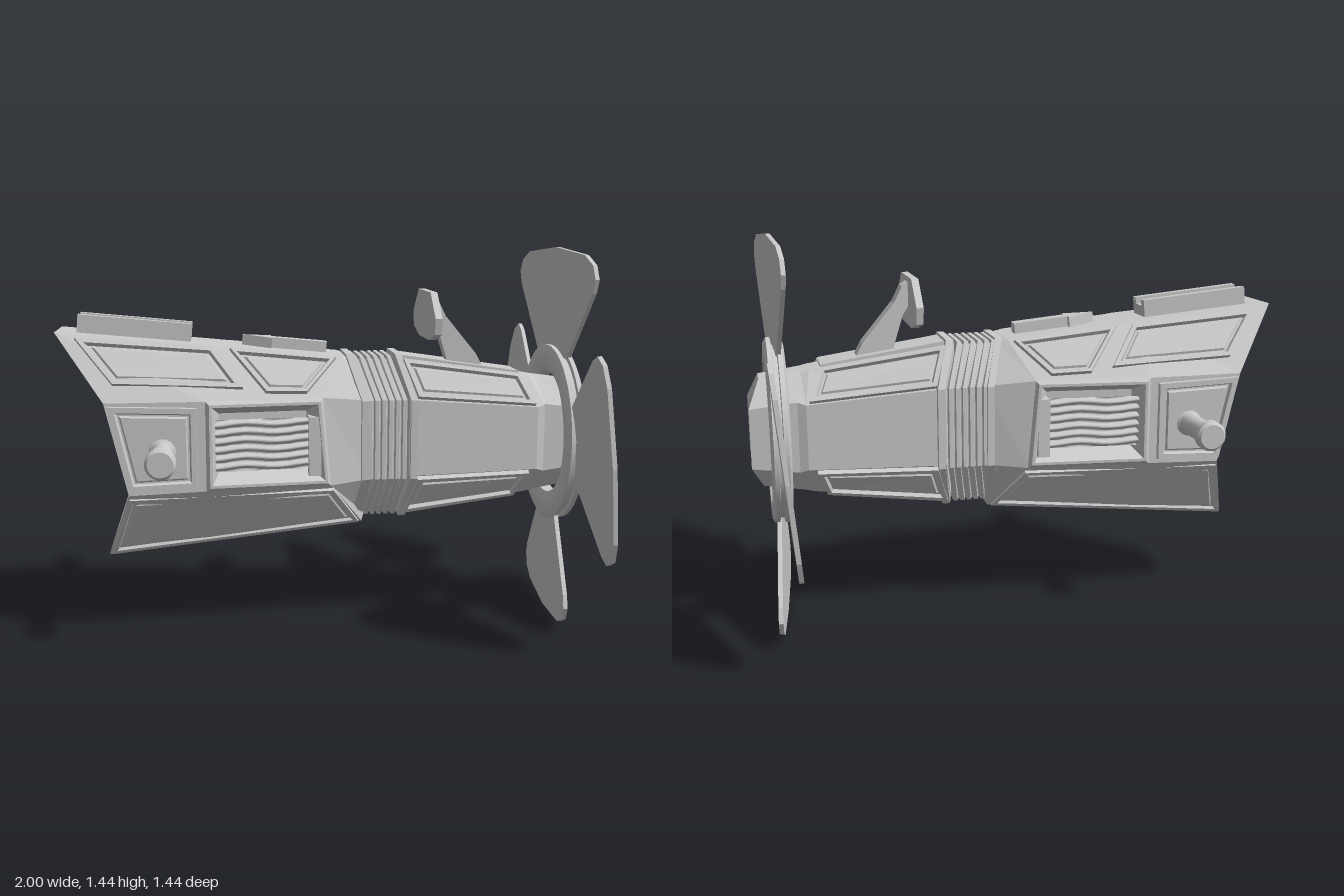
import * as THREE from 'three';
import { toCreasedNormals } from 'three/addons/utils/BufferGeometryUtils.js';

const mat = new THREE.MeshStandardMaterial({ color: 0xcccccc });
const thin = new THREE.MeshStandardMaterial({ color: 0xcccccc, side: THREE.DoubleSide });
const V = (x, y, z) => new THREE.Vector3(x, y, z);
const lerp = THREE.MathUtils.lerp;

function add(parent, name, geometry, material = mat) {
  const mesh = new THREE.Mesh(geometry, material);
  mesh.name = name;
  parent.add(mesh);
  return mesh;
}

// Joins rings of points with flat faces; rings run counter-clockwise seen from the end
function stitch(rings, { startCap = false, endCap = false, skip = () => false } = {}) {
  const out = [];
  const tri = (...p) => p.forEach(v => out.push(v.x, v.y, v.z));
  const n = rings[0].length;
  for (let i = 0; i < rings.length - 1; i++) {
    for (let j = 0; j < n; j++) {
      if (skip(i, j)) continue;
      const k = (j + 1) % n, a = rings[i], b = rings[i + 1];
      tri(a[j], a[k], b[k]);
      tri(a[j], b[k], b[j]);
    }
  }
  const first = rings[0], last = rings[rings.length - 1];
  for (let j = 1; j < n - 1; j++) {
    if (startCap) tri(first[0], first[j + 1], first[j]);
    if (endCap) tri(last[0], last[j], last[j + 1]);
  }
  const g = new THREE.BufferGeometry();
  g.setAttribute('position', new THREE.Float32BufferAttribute(out, 3));
  g.computeVertexNormals();
  return g;
}

// Eight-sided section from [x, y, halfWidth] at top, upper side, lower side, bottom
const oct = (...levels) => [
  ...[...levels].reverse().map(([x, y, z]) => V(x, y, -z)),
  ...levels.map(([x, y, z]) => V(x, y, z)),
];

// Insets a convex polygon in its own plane and lifts it along its normal
function offset(points, inset, lift) {
  const n = points.length;
  const normal = points[2].clone().sub(points[0]).cross(points[3].clone().sub(points[1])).normalize();
  return points.map((p, i) => {
    const d0 = p.clone().sub(points[(i + n - 1) % n]).normalize();
    const d1 = points[(i + 1) % n].clone().sub(p).normalize();
    const sin = d0.clone().cross(d1).length();
    return p.clone().addScaledVector(d1.sub(d0), inset / sin).addScaledVector(normal, lift);
  });
}

// Mirrored pair of stepped panels; corners clockwise from top left, steps are [inset, lift]
function panels(parent, name, corners, steps) {
  for (const s of [1, -1]) {
    const pts = corners.map(([x, y, z]) => V(x, y, z * s));
    if (s > 0) pts.reverse();
    add(parent, name, stitch(steps.map(([i, l]) => offset(pts, i, l)), { endCap: true }));
  }
}
const frame = (b, h = 0.018) => [[0, -0.02], [0.002, h], [b, h], [b + 0.006, 0.004], [b + 0.012, 0.004], [b + 0.018, h * 0.6]];

// Point on the sloping sides of the rear hull
function onHull(x, y) {
  const side = x < -0.46 ? 0.268 : lerp(0.268, 0.22, (x + 0.46) / 0.46);
  const edge = lerp(0.12, 0.1, Math.max(0, (x + 0.46) / 0.51));
  const top = 1.14 - 0.095 * (x + 1), bottom = 0.3 + 0.105 * (x + 0.83);
  const t = y > 0.9 ? (y - 0.9) / (top - 0.9) : y < 0.57 ? (0.57 - y) / (0.57 - bottom) : 0;
  return [x, y, lerp(side, edge, t)];
}
const hullPanel = list => list.map(([x, y]) => onHull(x, y));

function rearHull(model) {
  const g = new THREE.Group();
  g.name = 'rearHull';
  model.add(g);
  const rim = oct([-1, 1.14, 0.12], [-0.82, 0.9, 0.27], [-0.74, 0.56, 0.27], [-0.83, 0.3, 0.12]);
  const inner = oct([-0.97, 1.1, 0.1], [-0.805, 0.885, 0.235], [-0.735, 0.575, 0.235], [-0.815, 0.34, 0.1]);
  const deep = oct([-0.55, 1.05, 0.09], [-0.55, 0.87, 0.2], [-0.55, 0.6, 0.2], [-0.55, 0.4, 0.09]);
  const mid = oct([-0.46, 1.09, 0.12], [-0.46, 0.9, 0.268], [-0.46, 0.57, 0.268], [-0.46, 0.34, 0.12]);
  const front = oct([0.05, 1.04, 0.1], [-0.03, 0.9, 0.22], [0, 0.57, 0.22], [0.13, 0.4, 0.1]);
  const end = oct([0.09, 1.03, 0.09], [0.15, 0.88, 0.17], [0.15, 0.58, 0.17], [0.14, 0.43, 0.09]);
  add(g, 'hullShell', stitch([deep, inner, rim, mid, front, end],
    { startCap: true, endCap: true, skip: (i, j) => i === 3 && (j === 1 || j === 5) }));

  panels(g, 'upperRearPanel', hullPanel([[-0.93, 1.115], [-0.43, 1.075], [-0.32, 0.935], [-0.79, 0.955]]), frame(0.018));
  panels(g, 'upperFrontPanel', hullPanel([[-0.37, 1.07], [0.03, 1.03], [-0.09, 0.915], [-0.24, 0.92]]), frame(0.014));
  panels(g, 'sidePanel', hullPanel([[-0.81, 0.89], [-0.49, 0.88], [-0.49, 0.585], [-0.74, 0.575]]), frame(0.022));
  panels(g, 'lowerPanel', hullPanel([[-0.74, 0.55], [0.01, 0.56], [0.12, 0.405], [-0.82, 0.31]]), frame(0.016, 0.014));

  // Recessed side windows with corrugated vents
  panels(g, 'ventRecess', [[-0.46, 0.9, 0.268], [-0.03, 0.9, 0.22], [0, 0.57, 0.22], [-0.46, 0.57, 0.268]],
    [[0, 0], [0.012, 0.012], [0.022, 0.012], [0.055, -0.07]]);
  for (const s of [1, -1]) {
    const sheet = new THREE.PlaneGeometry(0.38, 0.19, 14, 42);
    const p = sheet.attributes.position;
    for (let i = 0; i < p.count; i++) {
      const wobble = 0.5 * Math.sin(p.getX(i) * 26);
      p.setZ(i, 0.022 * Math.abs(Math.sin(p.getY(i) * 100 + wobble)));
    }
    sheet.computeVertexNormals();
    const vent = add(g, 'vent', sheet, thin);
    vent.position.set(-0.26, 0.73, 0.205 * s);
    vent.rotation.y = s > 0 ? 0.1 : Math.PI - 0.1;
    const post = add(g, 'ventPost', new THREE.BoxGeometry(0.045, 0.22, 0.06));
    post.position.set(-0.06, 0.72, 0.2 * s);

    // Side pegs with rounded end caps
    const profile = [[0, 0.24], [0.055, 0.24], [0.055, 0.275], [0.04, 0.285], [0.04, 0.445], [0.055, 0.455], [0.055, 0.485], [0.045, 0.495], [0, 0.495]];
    const peg = add(g, 'sidePeg', toCreasedNormals(
      new THREE.LatheGeometry(profile.map(q => new THREE.Vector2(...q)), 20), 0.5));
    peg.position.set(-0.615, 0.72, 0);
    peg.rotation.x = s * Math.PI / 2;
  }

  // Top rail and arrow follow the slope of the roof
  const slope = -0.095;
  const rail = new THREE.Group();
  rail.name = 'topRail';
  rail.position.set(-0.715, 1.14, 0);
  rail.rotation.z = slope;
  g.add(rail);
  add(rail, 'railBase', new THREE.BoxGeometry(0.42, 0.05, 0.12)).position.y = -0.01;
  for (const z of [-0.045, 0.045])
    add(rail, 'railEdge', new THREE.BoxGeometry(0.42, 0.07, 0.03)).position.set(0, 0.005, z);
  const arrow = new THREE.Shape([[-0.16, 0], [-0.05, -0.05], [-0.05, -0.026], [0.16, -0.026], [0.16, 0.026], [-0.05, 0.026], [-0.05, 0.05]]
    .map(q => new THREE.Vector2(...q)));
  const arrowGeo = new THREE.ExtrudeGeometry(arrow, { depth: 0.05, bevelEnabled: false }).rotateX(-Math.PI / 2);
  const arrowMesh = add(g, 'raisedArrow', arrowGeo);
  arrowMesh.position.set(-0.16, 1.05, 0);
  arrowMesh.rotation.z = slope;
}

// Bent section of the neck, d is the extra thickness
const neckRing = (x, d) => oct([x - 0.05, 1.025 + d, 0.095], [x, 0.88, 0.17 + d], [x, 0.58, 0.17 + d], [x - 0.03, 0.435 - d, 0.095]);

function frontBody(model) {
  const g = new THREE.Group();
  g.name = 'frontBody';
  model.add(g);
  const ribs = [];
  for (let i = 0; i < 6; i++) {
    const x = 0.14 + i * 0.026;
    ribs.push(neckRing(x, 0), neckRing(x + 0.004, 0.012), neckRing(x + 0.018, 0.012), neckRing(x + 0.022, 0));
  }
  add(g, 'ribbedNeck', stitch(ribs, { startCap: true, endCap: true }));
  for (const [x, w] of [[0.115, 0.03], [0.3, 0.03]])
    add(g, 'neckCollar', stitch([neckRing(x, 0), neckRing(x + 0.004, 0.02), neckRing(x + w, 0.02), neckRing(x + w + 0.004, 0)],
      { startCap: true, endCap: true }));

  // Tapered barrel ending in a hollow nose
  add(g, 'barrel', stitch([
    oct([0.27, 1.025, 0.1], [0.3, 0.88, 0.18], [0.3, 0.59, 0.18], [0.27, 0.435, 0.1]),
    oct([0.78, 0.95, 0.07], [0.8, 0.84, 0.152], [0.8, 0.6, 0.152], [0.78, 0.495, 0.07]),
    oct([0.81, 0.945, 0.06], [0.83, 0.85, 0.14], [0.83, 0.59, 0.14], [0.81, 0.5, 0.06]),
    oct([0.96, 0.925, 0.055], [1, 0.83, 0.125], [1, 0.61, 0.125], [0.96, 0.525, 0.055]),
    oct([0.955, 0.88, 0.04], [0.985, 0.815, 0.08], [0.985, 0.63, 0.08], [0.955, 0.57, 0.04]),
    oct([0.9, 0.85, 0.03], [0.9, 0.8, 0.06], [0.9, 0.64, 0.06], [0.9, 0.6, 0.03]),
  ], { startCap: true, endCap: true }));
  panels(g, 'barrelUpperPanel', [[0.28, 1.022, 0.1], [0.74, 0.956, 0.073], [0.79, 0.845, 0.152], [0.33, 0.883, 0.177]], frame(0.018));
  panels(g, 'barrelLowerPanel', [[0.33, 0.588, 0.177], [0.77, 0.598, 0.154], [0.73, 0.49, 0.073], [0.28, 0.437, 0.1]], frame(0.018));
  const roof = add(g, 'barrelTopPlate', new THREE.BoxGeometry(0.46, 0.025, 0.15));
  roof.position.set(0.51, 0.992, 0);
  roof.rotation.z = -0.145;

  // Sight plate on a slanted mast
  const extrude = (pts, depth) => new THREE.ExtrudeGeometry(
    new THREE.Shape(pts.map(q => new THREE.Vector2(...q))), { depth, bevelEnabled: false }).translate(0, 0, -depth / 2);
  add(g, 'sightMast', extrude([[0.4, 1.26], [0.4, 1.18], [0.43, 1.13], [0.47, 1.0], [0.61, 0.98], [0.58, 1.035], [0.46, 1.18], [0.43, 1.24]], 0.07));
  const plate = add(g, 'sightPlate', extrude([[-0.12, 0.09], [-0.225, 0], [-0.215, -0.06], [-0.1, -0.09], [0.1, -0.09], [0.215, -0.06], [0.225, 0], [0.12, 0.09]].reverse(), 0.026));
  plate.position.set(0.395, 1.185, 0);
  plate.rotation.y = Math.PI / 2;
}

function propeller(model) {
  const g = new THREE.Group();
  g.name = 'propeller';
  g.position.set(0.9, 0.72, 0);
  model.add(g);
  const profile = [[0.24, -0.022], [0.27, -0.035], [0.325, -0.035], [0.342, -0.026], [0.342, -0.01], [0.325, -0.008],
    [0.325, 0.008], [0.342, 0.01], [0.342, 0.026], [0.325, 0.035], [0.27, 0.035], [0.262, 0.022], [0.24, 0.022], [0.24, -0.022]];
  const ring = add(g, 'hubRing', toCreasedNormals(
    new THREE.LatheGeometry(profile.map(q => new THREE.Vector2(...q)), 48), 0.5));
  ring.rotation.z = -Math.PI / 2;

  // Four pitched fan blades
  const half = [[0.14, 0.3], [0.35, 0.56], [0.37, 0.61], [0.345, 0.66], [0.27, 0.695], [0, 0.718]];
  const outline = [...half, ...half.slice(0, -1).reverse().map(([x, y]) => [-x, y])];
  const blade = new THREE.ExtrudeGeometry(new THREE.Shape(outline.map(q => new THREE.Vector2(...q))),
    { depth: 0.016, bevelEnabled: false }).translate(0, 0, -0.008).rotateY(Math.PI / 2 + 0.09);
  for (let i = 0; i < 4; i++) add(g, 'blade', blade).rotation.x = i * Math.PI / 2;
}

export function createModel() {
  const model = new THREE.Group();
  model.name = 'propellerDevice';
  rearHull(model);
  frontBody(model);
  propeller(model);
  return model;
}
